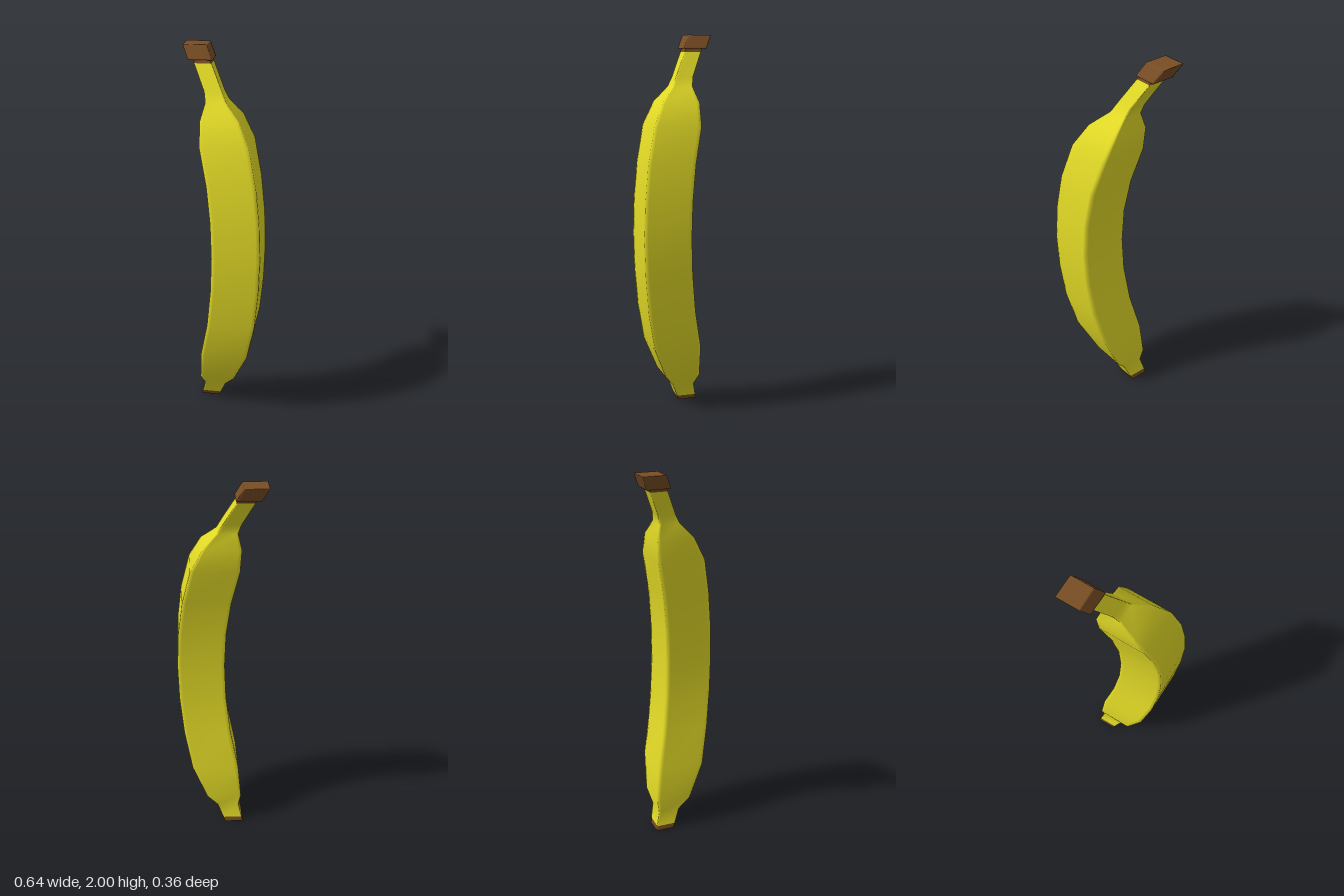
import * as THREE from 'three';

// Diamond cross-section with extra points beside each corner, so the ridges stay
// crisp while the faces between them shade smoothly.
function diamond() {
  const corners = [[1, 0], [0, 1], [-1, 0], [0, -1]];
  const points = [];
  corners.forEach(([x, z], i) => {
    const [nx, nz] = corners[(i + 1) % 4];
    for (const t of [0, 0.08, 0.92]) points.push([x + (nx - x) * t, z + (nz - z) * t]);
  });
  return points;
}

// Lofts level rings given as [y, xMin, xMax, zHalf], from bottom to top.
function loft(rings, name, material) {
  const section = diamond();
  const n = section.length;
  const positions = [];
  const index = [];
  rings.forEach(([y, x0, x1, rz]) => {
    for (const [sx, sz] of section) {
      positions.push((x0 + x1) / 2 + (sx * (x1 - x0)) / 2, y, sz * rz);
    }
  });
  for (let j = 0; j < rings.length - 1; j++) {
    for (let i = 0; i < n; i++) {
      const a = j * n + i;
      const b = j * n + ((i + 1) % n);
      index.push(a, a + n, b, b, a + n, b + n);
    }
  }
  const geometry = new THREE.BufferGeometry();
  geometry.setAttribute('position', new THREE.Float32BufferAttribute(positions, 3));
  geometry.setIndex(index);
  geometry.computeVertexNormals();
  const mesh = new THREE.Mesh(geometry, material);
  mesh.name = name;
  return mesh;
}

export function createModel() {
  const yellow = new THREE.MeshStandardMaterial({ color: 0xe2da26 });
  yellow.name = 'yellow peel';
  const brown = new THREE.MeshStandardMaterial({ color: 0x784d24 });
  brown.name = 'brown';

  const group = new THREE.Group();
  group.name = 'banana';

  // Curved peel, from the blossom end up to the stalk
  group.add(loft([
    [0.025, -0.173, -0.025, 0.073],
    [0.1, -0.147, 0.02, 0.081],
    [0.17, -0.165, 0.1, 0.134],
    [0.355, -0.142, 0.218, 0.178],
    [0.56, -0.083, 0.28, 0.178],
    [0.77, -0.048, 0.31, 0.178],
    [0.96, -0.038, 0.32, 0.178],
    [1.15, -0.048, 0.31, 0.178],
    [1.34, -0.083, 0.28, 0.178],
    [1.53, -0.142, 0.218, 0.178],
    [1.65, -0.153, 0.132, 0.14],
    [1.73, -0.126, 0.022, 0.076],
    [1.78, -0.147, -0.012, 0.064],
    [1.91, -0.235, -0.105, 0.063],
  ], 'peel', yellow));

  // Dark blossom end
  group.add(loft([
    [0, -0.11, -0.11, 0],
    [0, -0.175, -0.045, 0.064],
    [0, -0.182, -0.038, 0.07],
    [0.025, -0.173, -0.025, 0.073],
  ], 'blossomEnd', brown));

  // Slanted stalk tip with a short collar below it
  group.add(loft([
    [1.91, -0.235, -0.105, 0.063],
    [1.928, -0.247, -0.117, 0.063],
    [1.928, -0.27, -0.105, 0.082],
    [1.928, -0.276, -0.1, 0.088],
    [1.934, -0.28, -0.104, 0.088],
    [1.994, -0.321, -0.145, 0.088],
    [2, -0.325, -0.149, 0.088],
    [2, -0.317, -0.157, 0.08],
    [2, -0.237, -0.237, 0],
  ], 'stalkTip', brown));

  return group;
}
